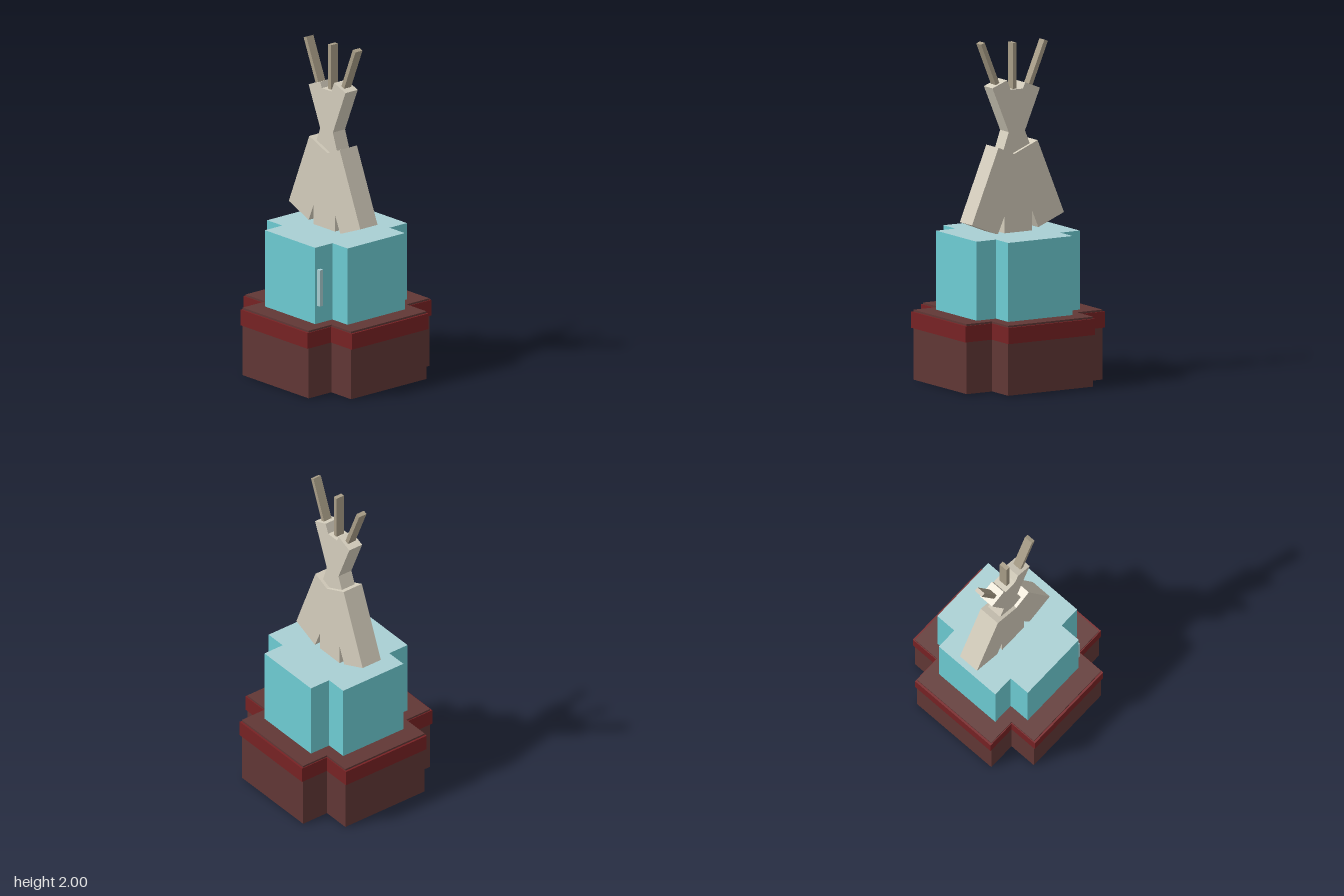
import * as THREE from 'three';

const material = (name, color) => {
  const m = new THREE.MeshStandardMaterial({ color });
  m.name = name;
  return m;
};

export function createModel() {
  const model = new THREE.Group();
  model.name = 'crossPlanMonument';

  const maroon = material('darkMaroon', 0x613735);
  const red = material('deepRed', 0x772224);
  const teal = material('teal', 0x6ecdd4);
  const pale = material('paleTeal', 0xa9cfd3);
  const stone = material('warmStone', 0xd5cebd);
  const wood = material('greyWood', 0xa99e88);

  const add = (name, geometry, mat, x = 0, y = 0, z = 0) => {
    const mesh = new THREE.Mesh(geometry, mat);
    mesh.name = name;
    mesh.position.set(x, y, z);
    model.add(mesh);
    return mesh;
  };

  const extrude = (points, depth) => new THREE.ExtrudeGeometry(
    new THREE.Shape(points.map(([x, y]) => new THREE.Vector2(x, y))),
    { depth, bevelEnabled: false });

  // Plus-shaped block: a = arm reach, b = arm half width, between heights y0 and y1
  const plusBlock = (name, a, b, y0, y1, mat) => {
    const outline = [
      [a, -b], [a, b], [b, b], [b, a], [-b, a], [-b, b],
      [-a, b], [-a, -b], [-b, -b], [-b, -a], [b, -a], [b, -b],
    ];
    add(name, extrude(outline, y1 - y0).rotateX(-Math.PI / 2), mat, 0, y0, 0);
  };

  // Upright slab cut from a front outline, centred in depth
  const slab = (name, outline, depth) =>
    add(name, extrude(outline, depth), stone, 0, 0, -depth / 2 - 0.001);

  // Plinth, its rim and the cabinet (pale caps, teal walls)
  plusBlock('plinth', 0.464, 0.29, 0, 0.411, maroon);
  plusBlock('plinthRim', 0.476, 0.295, 0.305, 0.4, red);
  plusBlock('cabinet', 0.353, 0.22, 0.411, 0.875, [pale, teal]);
  add('doorHandle', new THREE.BoxGeometry(0.025, 0.22, 0.026), pale, 0.2325, 0.63, 0.326);

  // Splayed lower legs around a straight centre post
  slab('lowerLegs', [
    [-0.16, 1.402], [-0.34, 0.963], [-0.165, 0.89], [-0.122, 0.993], [-0.122, 0.875],
    [0.065, 0.875], [0.065, 0.978], [0.112, 0.872], [0.288, 0.942], [0.107, 1.381], [0, 1.335],
  ], 0.133);

  // Crossed upper arms, pinched at the waist
  slab('crossedArms', [
    [-0.188, 1.705], [-0.086, 1.463], [-0.15, 1.305], [0.08, 1.305], [0.025, 1.463],
    [0.136, 1.73], [0.036, 1.768], [0.012, 1.71], [-0.072, 1.71], [-0.087, 1.745],
  ], 0.094);

  // Three sticks rising from the arms: bottom centre to top centre
  const sticks = {
    leftLeaningStick: [-0.127, 1.7, -0.243, 1.975],
    centreStick: [-0.028, 1.69, -0.028, 1.98],
    rightLeaningStick: [0.073, 1.71, 0.189, 1.994],
  };
  for (const [name, [x0, y0, x1, y1]] of Object.entries(sticks)) {
    const length = Math.hypot(x1 - x0, y1 - y0);
    const stick = add(name, new THREE.BoxGeometry(0.026, length, 0.054), wood,
      (x0 + x1) / 2, (y0 + y1) / 2, -0.001);
    stick.rotation.z = -Math.atan2(x1 - x0, y1 - y0);
  }

  return model;
}
